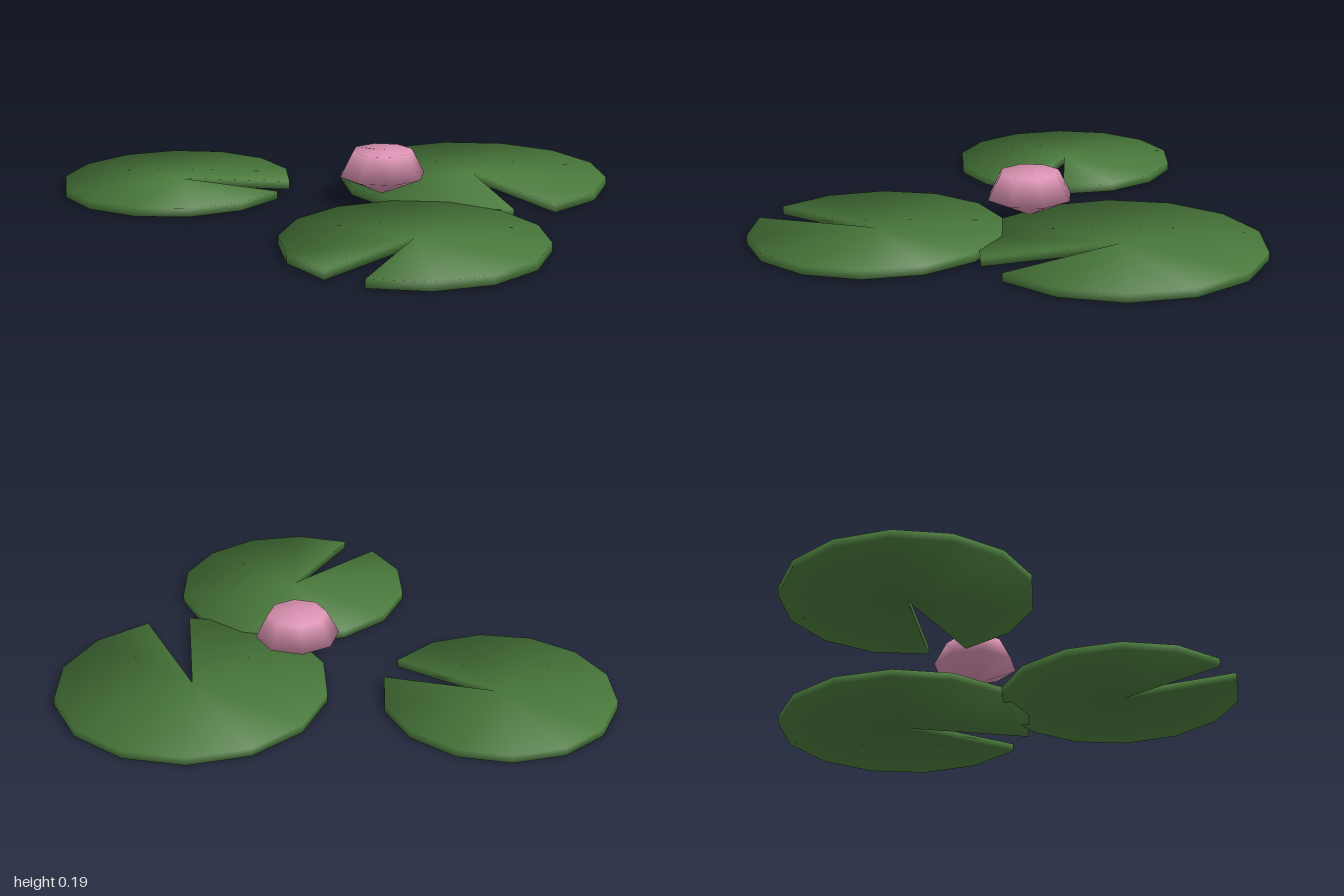
import * as THREE from 'three';

const STEP = THREE.MathUtils.degToRad(26.25); // rim segment angle
const SEGMENTS = 13;

// Thin notched disc; vertices are shared by faces and rim so the shading rolls over the edge
function padGeometry(radius, startDegrees, height) {
  const start = THREE.MathUtils.degToRad(startDegrees);
  const outline = [new THREE.Vector2(0, 0)]; // notch apex, then the rim
  for (let i = 0; i <= SEGMENTS; i++) {
    const a = start + i * STEP;
    outline.push(new THREE.Vector2(Math.cos(a) * radius, -Math.sin(a) * radius));
  }
  const n = outline.length;
  const wallNormal = (i) => {
    const d = outline[(i + 1) % n].clone().sub(outline[i % n]).normalize();
    return new THREE.Vector2(-d.y, d.x);
  };
  const positions = [], normals = [], index = [];
  for (const side of [-1, 1]) {
    outline.forEach((p, i) => {
      const out = wallNormal(i).add(wallNormal(i + n - 1));
      const normal = new THREE.Vector3(out.x, side * 1.3, out.y).normalize();
      positions.push(p.x, side > 0 ? height : 0, p.y);
      normals.push(...normal.toArray());
    });
  }
  for (let i = 1; i < n - 1; i++) {
    index.push(n, n + i, n + i + 1); // top
    index.push(0, i + 1, i); // underside
  }
  for (let i = 0; i < n; i++) {
    const j = (i + 1) % n;
    index.push(i, j, n + j, i, n + j, n + i); // edge
  }
  const geometry = new THREE.BufferGeometry();
  geometry.setAttribute('position', new THREE.Float32BufferAttribute(positions, 3));
  geometry.setAttribute('normal', new THREE.Float32BufferAttribute(normals, 3));
  geometry.setIndex(index);
  return geometry;
}

export function createModel() {
  const group = new THREE.Group();
  const leafGreen = new THREE.MeshStandardMaterial({ color: 0x4a7a3c });
  leafGreen.name = 'leafGreen';
  const petalPink = new THREE.MeshStandardMaterial({ color: 0xdb93b3 });
  petalPink.name = 'petalPink';

  // Floating leaves: apex x, z, radius, first rim angle, thickness
  const pads = [
    ['leftPad', 0.55, 0.44, 0.45, -80.5, 0.031],
    ['rightPad', -0.575, 0.235, 0.425, 24, 0.03],
    ['backPad', 0.34, -0.4, 0.5, -27.7, 0.03],
  ];
  for (const [name, x, z, radius, start, height] of pads) {
    const pad = new THREE.Mesh(padGeometry(radius, start, height), leafGreen);
    pad.name = name;
    pad.position.set(x, 0, z);
    group.add(pad);
  }

  // Flower bud: eight-sided, pointed below and flat on top
  const profile = [[0, 0.03], [0.157, 0.1], [0.11, 0.19], [0, 0.19]];
  const flower = new THREE.Mesh(
    new THREE.LatheGeometry(profile.map(([r, y]) => new THREE.Vector2(r, y)), 8),
    petalPink
  );
  flower.name = 'flower';
  flower.position.set(0.187, 0, 0.022);
  group.add(flower);

  return group;
}
